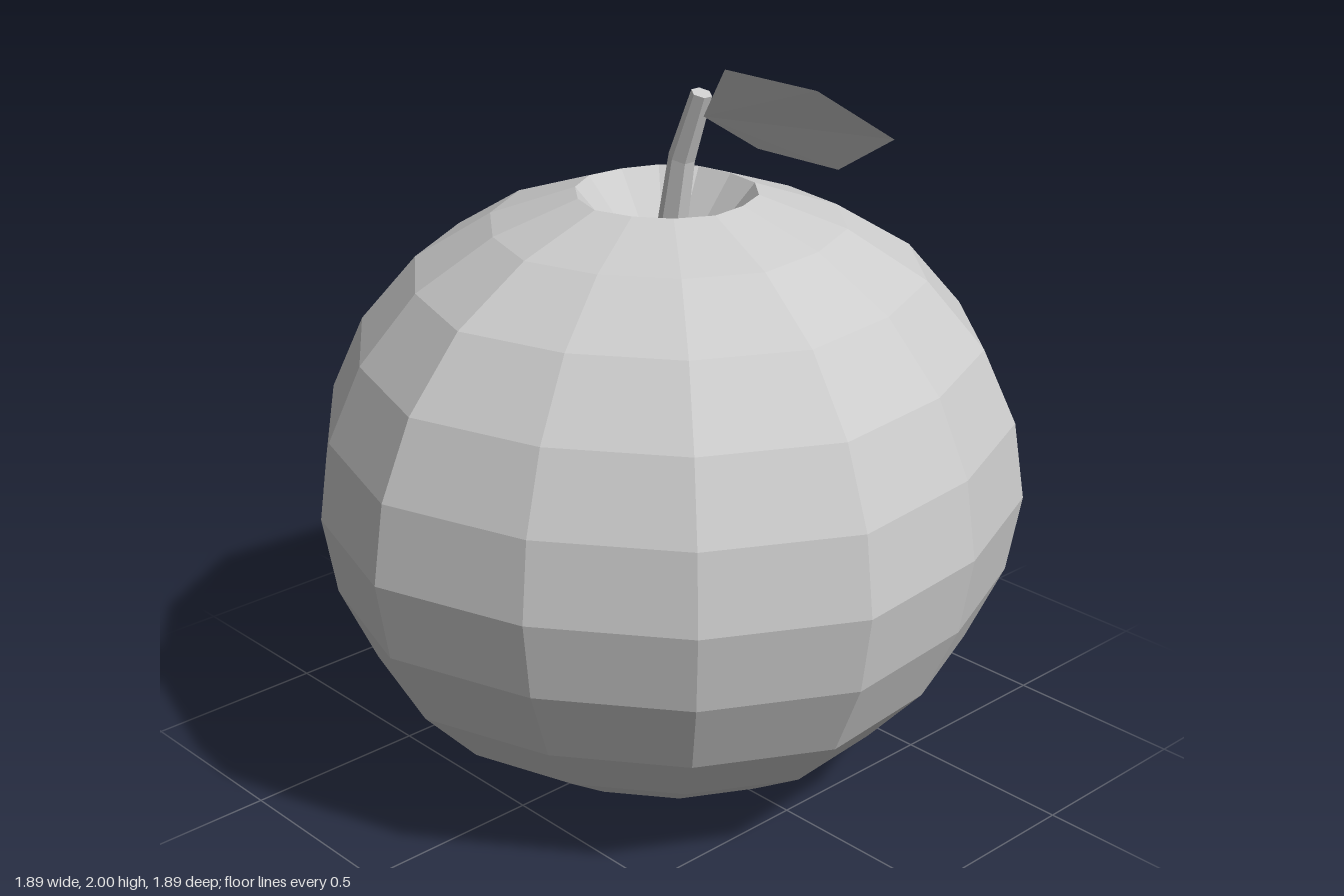
import * as THREE from 'three';

const CENTRE_Z = -0.024;

// Faceted body: a dimpled profile turned in 14 steps, with five shallow lobes
function bodyGeometry() {
  const profile = [
    [0, 0.1], [0.235, 0.003], [0.46, 0.085], [0.66, 0.22], [0.815, 0.39], [0.912, 0.6],
    [0.947, 0.81], [0.915, 1.02], [0.825, 1.22], [0.672, 1.4], [0.465, 1.53], [0.238, 1.61],
    [0, 1.33],
  ].map(([r, y]) => new THREE.Vector2(r, y));
  const geometry = new THREE.LatheGeometry(profile, 14);
  const p = geometry.attributes.position;
  for (let i = 0; i < p.count; i++) {
    const x = p.getX(i), z = p.getZ(i);
    const lobe = 1 + 0.024 * Math.cos(5 * Math.atan2(x, z));
    p.setXYZ(i, x * lobe, p.getY(i), z * lobe + CENTRE_Z);
  }
  geometry.computeVertexNormals();
  return geometry;
}

// Stem: a tapered prism bent at its middle ring, each ring tilted to the lean
function stemGeometry() {
  const rings = [[0.002, 1.42], [0.055, 1.71], [0.126, 1.89]];
  const geometry = new THREE.CylinderGeometry(0.027, 0.042, 2, 6, 2);
  const p = geometry.attributes.position;
  for (let i = 0; i < p.count; i++) {
    const level = Math.round(p.getY(i)) + 1;
    const [cx, cy] = rings[level];
    const x = p.getX(i);
    p.setXYZ(i, cx + x, cy - 0.3 * x, p.getZ(i) - 0.027);
  }
  geometry.computeVertexNormals();
  return geometry;
}

// Leaf: two flat halves folded slightly along the midrib
function leafGeometry() {
  const base = [0.13, 1.83, -0.03], tip = [0.76, 1.9, -0.03];
  const upper = [[0.31, 2.0, 0.075], [0.6, 2.0, 0.062]];
  const lower = [[0.28, 1.77, -0.072], [0.54, 1.77, -0.083]];
  const geometry = new THREE.BufferGeometry();
  const points = [base, ...lower, tip, ...upper].flat();
  geometry.setAttribute('position', new THREE.Float32BufferAttribute(points, 3));
  geometry.setIndex([0, 1, 2, 0, 2, 3, 0, 3, 5, 0, 5, 4]);
  geometry.computeVertexNormals();
  return geometry;
}

export function createModel() {
  const grey = new THREE.MeshStandardMaterial({ color: 0xcccccc });
  grey.name = 'light grey';
  grey.flatShading = true;
  grey.side = THREE.DoubleSide;

  const model = new THREE.Group();
  model.name = 'fruit';
  const parts = { body: bodyGeometry(), stem: stemGeometry(), leaf: leafGeometry() };
  for (const [name, geometry] of Object.entries(parts)) {
    const mesh = new THREE.Mesh(geometry, grey);
    mesh.name = name;
    model.add(mesh);
  }
  return model;
}
